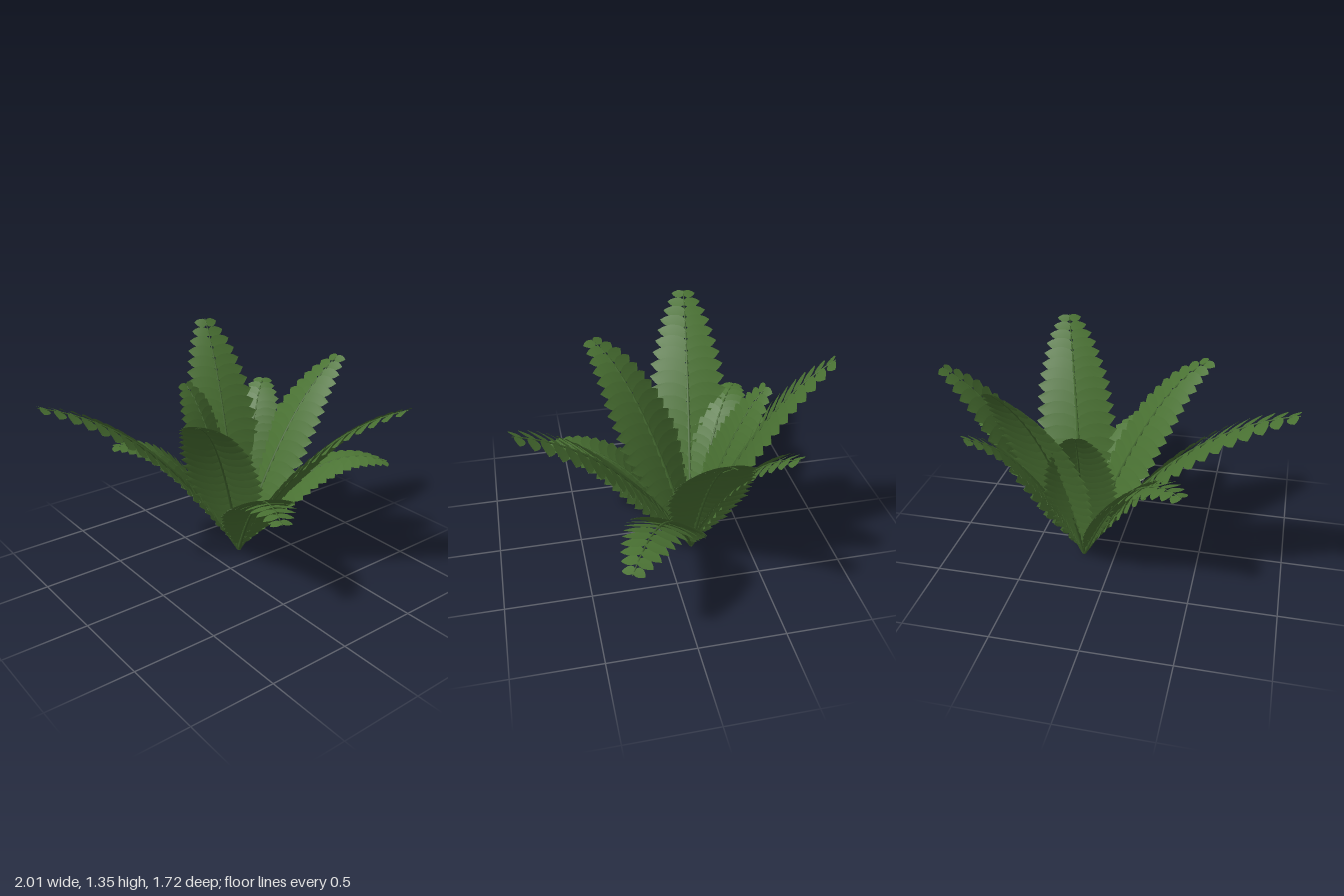
import * as THREE from 'three';
import { mergeGeometries } from 'three/addons/utils/BufferGeometryUtils.js';

const ROOT = new THREE.Vector3(0.19, 0, -0.16);
const PAIRS = 19;

// tip x, y, z; bend point as fractions of the run and the rise; width scale
const FRONDS = [
  [-1.0, 1.17, -0.37, 0.45, 0.84, 1],
  [1.0, 1.16, -0.155, 0.48, 0.82, 0.92],
  [0.43, 1.35, -0.84, 0.42, 0.74, 0.97],
  [0.53, 1.17, 0.84, 0.46, 0.8, 1],
  [-0.47, 1.14, 0.32, 0.52, 0.92, 0.95],
  [0.98, 0.58, 0.34, 0.5, 1.38, 0.82],
  [-0.16, 0.63, 0.65, 0.5, 1.22, 0.82],
  [-0.45, 0.74, -0.58, 0.5, 1.12, 0.82],
  [0.72, 0.95, -0.58, 0.5, 0.9, 0.85],
  [0.1, 1.03, -0.6, 0.5, 0.8, 0.85],
];

// leaflet length along the frond
const LENGTHS = [[0.08, 0.06], [0.25, 0.19], [0.45, 0.26], [0.65, 0.235], [0.85, 0.16], [1, 0.065]];
function leafLength(t) {
  const i = LENGTHS.findIndex(([end]) => t <= end);
  const [t0, a] = LENGTHS[i - 1], [t1, b] = LENGTHS[i];
  return THREE.MathUtils.lerp(a, b, (t - t0) / (t1 - t0));
}

// pointed blade along +x, unit length and width, drooping towards the tip
function bladeGeometry() {
  const stations = [[0, 0.2], [0.14, 0.43], [0.36, 0.5], [0.6, 0.44], [0.83, 0.25], [1, 0]];
  const pos = [], index = [];
  stations.forEach(([u, w], i) => {
    const y = -0.12 * u * u;
    pos.push(u, y, -w, u, y - 0.01, 0, u, y, w);
    if (i === 0) return;
    for (let k = 0; k < 2; k++) {
      const a = (i - 1) * 3 + k, b = a + 3;
      index.push(a, a + 1, b, a + 1, b + 1, b);
    }
  });
  const g = new THREE.BufferGeometry();
  g.setAttribute('position', new THREE.Float32BufferAttribute(pos, 3));
  g.setIndex(index);
  return g;
}

// stem that tapers to the tip
function stemGeometry(curve) {
  const rows = 24, sides = 6;
  const g = new THREE.TubeGeometry(curve, rows, 0.014, sides, false);
  const p = g.attributes.position, v = new THREE.Vector3();
  for (let i = 0; i <= rows; i++) {
    const c = curve.getPointAt(i / rows);
    const s = THREE.MathUtils.lerp(1, 0.22, i / rows);
    for (let j = 0; j <= sides; j++) {
      const k = i * (sides + 1) + j;
      v.fromBufferAttribute(p, k).sub(c).multiplyScalar(s).add(c);
      p.setXYZ(k, v.x, Math.max(0, v.y), v.z);
    }
  }
  g.computeVertexNormals();
  return g;
}

// paired leaflets down both sides of the stem
function leafletGeometry(curve, side, scale, blade) {
  const parts = [];
  for (let i = 0; i < PAIRS; i++) {
    const t = THREE.MathUtils.lerp(0.1, 0.975, i / (PAIRS - 1));
    const point = curve.getPointAt(t), tangent = curve.getTangentAt(t);
    const up = side.clone().cross(tangent).normalize();
    if (up.y < 0) up.negate();
    const length = leafLength(t) * scale;
    const width = 0.44 * length + 0.028;
    const sweep = 0.12 + 0.18 * t;
    for (const s of [-1, 1]) {
      const out = side.clone().multiplyScalar(s * Math.cos(sweep)).addScaledVector(tangent, Math.sin(sweep));
      const across = tangent.clone().multiplyScalar(Math.cos(sweep)).addScaledVector(side, -s * Math.sin(sweep));
      across.addScaledVector(up, 0.18).normalize();
      const normal = across.clone().cross(out).normalize();
      if (normal.dot(up) < 0) normal.negate();
      const m = new THREE.Matrix4().makeBasis(
        out.multiplyScalar(length), normal.multiplyScalar(length), across.multiplyScalar(width));
      m.setPosition(point);
      const g = blade.clone().applyMatrix4(m);
      g.computeVertexNormals();
      parts.push(g);
    }
  }
  return mergeGeometries(parts);
}

export function createModel() {
  const leafGreen = new THREE.MeshStandardMaterial({ color: 0x4a7233, side: THREE.DoubleSide });
  leafGreen.name = 'leafGreen';
  const stemGreen = new THREE.MeshStandardMaterial({ color: 0x42672e, side: THREE.DoubleSide });
  stemGreen.name = 'stemGreen';

  const model = new THREE.Group();
  model.name = 'fern';
  const blade = bladeGeometry();

  FRONDS.forEach(([x, y, z, run, rise, scale], i) => {
    const tip = new THREE.Vector3(x, y, z);
    const bend = ROOT.clone().lerp(tip, run).setY(y * rise);
    const curve = new THREE.QuadraticBezierCurve3(ROOT.clone(), bend, tip);
    const side = new THREE.Vector3(-(z - ROOT.z), 0, x - ROOT.x).normalize();

    const frond = new THREE.Group();
    frond.name = `frond${i + 1}`;
    const stem = new THREE.Mesh(stemGeometry(curve), stemGreen);
    stem.name = 'stem';
    const leaflets = new THREE.Mesh(leafletGeometry(curve, side, scale, blade), leafGreen);
    leaflets.name = 'leaflets';
    frond.add(stem, leaflets);
    model.add(frond);
  });
  return model;
}
